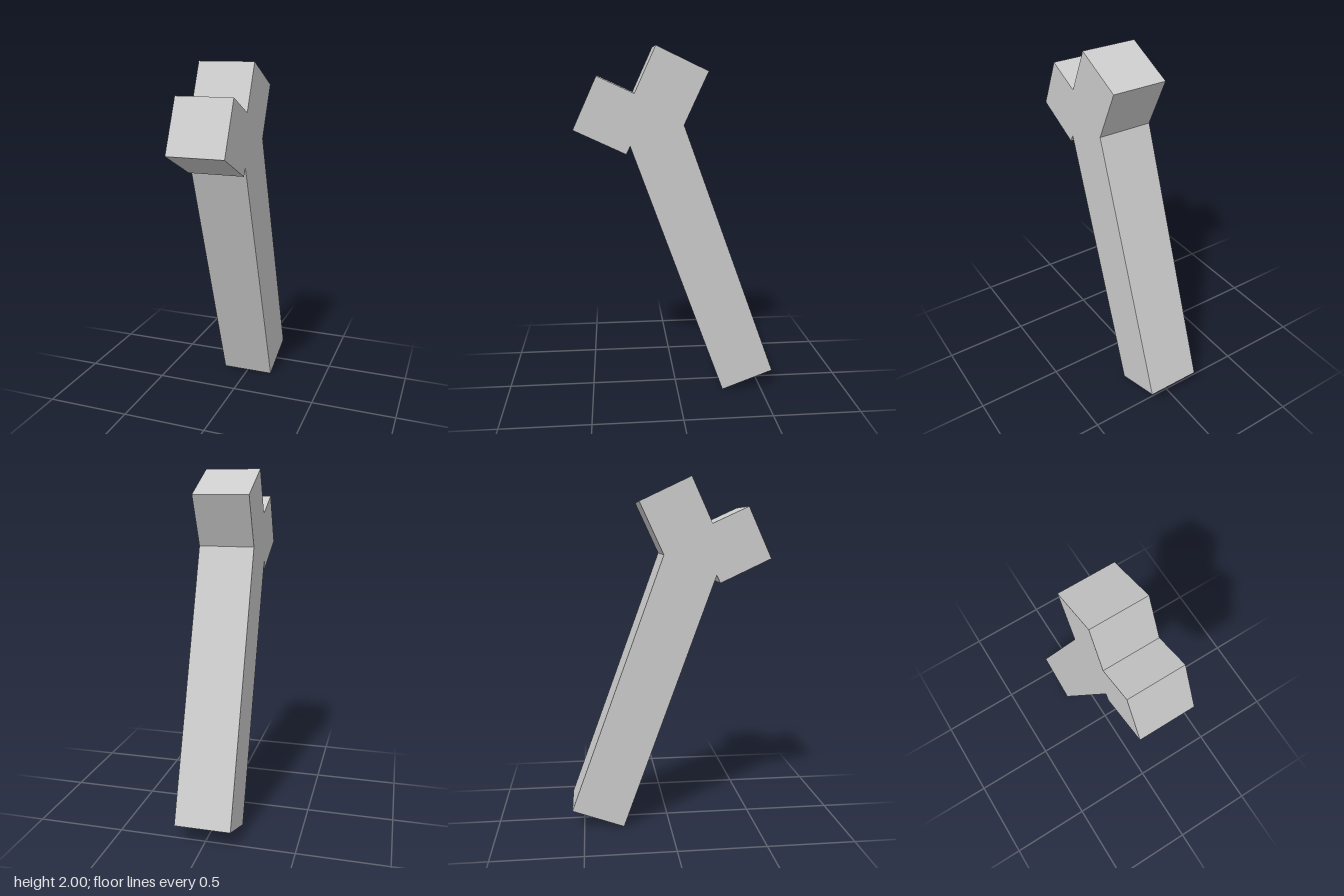
import * as THREE from 'three';

const WIDTH = 0.316;

export function createModel() {
  const grey = new THREE.MeshStandardMaterial({ color: 0xcccccc });
  grey.name = 'plain grey';

  // Side outline as (z, y): leaning shaft with a forked head
  const outline = [
    [-0.27, 0], [-0.568, 0.11],       // foot of the shaft
    [-0.034, 1.577],                  // back bend below the head
    [-0.168, 1.865], [0.119, 2],      // upper prong
    [0.236, 1.748],                   // inner corner of the fork
    [0.438, 1.84], [0.571, 1.554],    // front prong
    [0.284, 1.42], [0.262, 1.464],    // notch under the front prong
  ].map(([z, y]) => new THREE.Vector2(z, y));

  // Extrude across the width, then turn the outline into the z-y plane
  const geometry = new THREE.ExtrudeGeometry(new THREE.Shape(outline), {
    depth: WIDTH,
    bevelEnabled: false,
  });
  geometry.translate(0, 0, -WIDTH / 2);
  geometry.rotateY(-Math.PI / 2);

  const beam = new THREE.Mesh(geometry, grey);
  beam.name = 'forkedBeam';

  const model = new THREE.Group();
  model.name = 'forkedPost';
  model.add(beam);
  return model;
}
